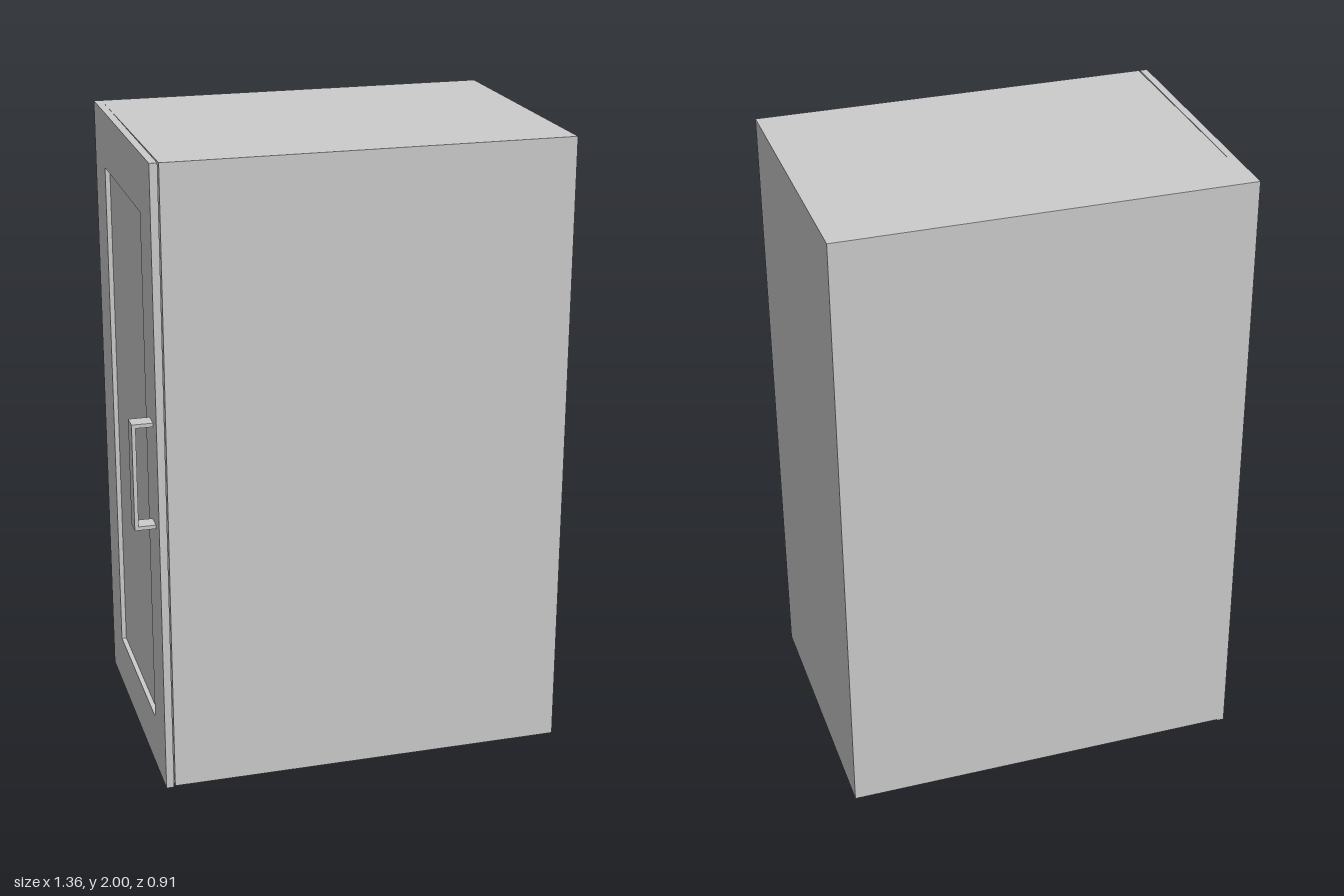
import * as THREE from 'three';

const HEIGHT = 2, DEPTH = 0.908, BACK = -DEPTH / 2;
const SEAM_X = -0.587, DOOR_T = 0.024;

export function createModel() {
  const model = new THREE.Group();
  model.name = 'cabinet';
  const material = new THREE.MeshStandardMaterial({ color: 0xcccccc });

  // Box given by its min and max corners
  function box(name, parent, [x0, y0, z0], [x1, y1, z1]) {
    const mesh = new THREE.Mesh(new THREE.BoxGeometry(x1 - x0, y1 - y0, z1 - z0), material);
    mesh.position.set((x0 + x1) / 2, (y0 + y1) / 2, (z0 + z1) / 2);
    mesh.name = name;
    parent.add(mesh);
  }

  // Closed cabinet body
  box('cabinetBody', model, [SEAM_X, 0.004, BACK], [0.68, HEIGHT, -BACK]);

  // Door, hinged at the back edge and standing very slightly ajar
  const door = new THREE.Group();
  door.name = 'door';
  door.position.set(SEAM_X, 0, BACK);
  door.rotation.y = -0.0045;
  model.add(door);

  // Door frame: a rectangle with an opening for the panel
  const [z0, z1, y0, y1] = [0.168, 0.748, 0.17, 1.82];
  const outline = new THREE.Shape([
    new THREE.Vector2(0, 0), new THREE.Vector2(DEPTH, 0),
    new THREE.Vector2(DEPTH, HEIGHT), new THREE.Vector2(0, HEIGHT),
  ]);
  outline.holes.push(new THREE.Path([
    new THREE.Vector2(z0, y0), new THREE.Vector2(z0, y1),
    new THREE.Vector2(z1, y1), new THREE.Vector2(z1, y0),
  ]));
  const frameGeometry = new THREE.ExtrudeGeometry(outline, { depth: DOOR_T, bevelEnabled: false });
  frameGeometry.rotateY(-Math.PI / 2);
  const frame = new THREE.Mesh(frameGeometry, material);
  frame.name = 'doorFrame';
  door.add(frame);

  // Recessed panel
  box('doorPanel', door, [-0.009, y0, z0], [0, y1, z1]);

  // Flat bracket handle: two arms and an upright grip
  const [h0, h1, near, far, bar] = [0.865, 1.205, 0.804, 0.858, 0.012];
  const tip = -0.089;
  box('handleGrip', door, [tip, h0, near], [tip + bar, h1, far]);
  for (const y of [h0, h1 - bar]) {
    box('handleArm', door, [tip + bar, y, near], [-DOOR_T, y + bar, far]);
  }

  return model;
}
